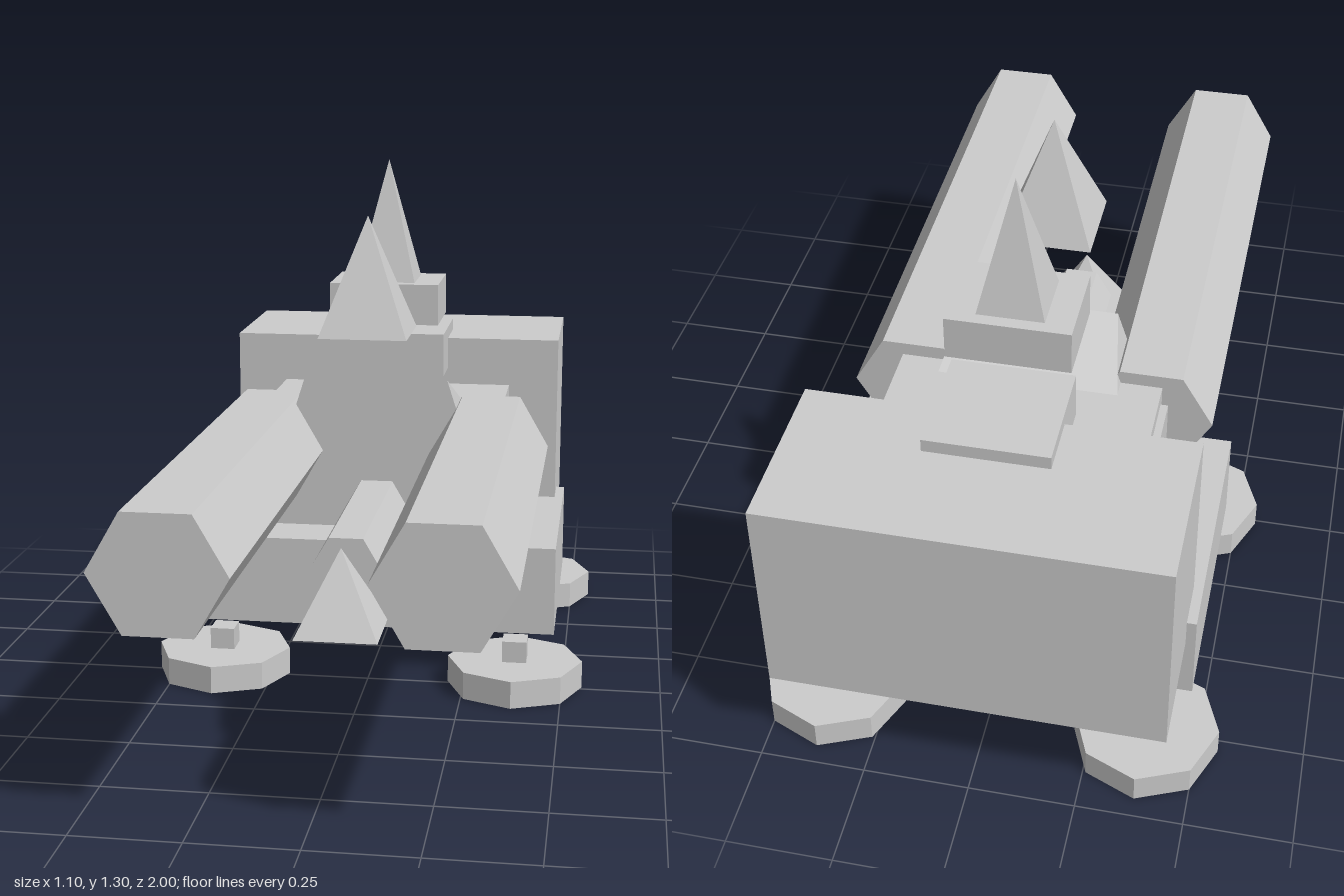
import * as THREE from 'three';

export function createModel() {
  const model = new THREE.Group();
  const grey = new THREE.MeshStandardMaterial({ color: 0xcccccc, flatShading: true });
  grey.name = 'plain grey';

  const add = (name, geometry, x, y, z) => {
    const mesh = new THREE.Mesh(geometry, grey);
    mesh.name = name;
    mesh.position.set(x, y, z);
    model.add(mesh);
    return mesh;
  };

  // Box given by its low and high limits on each axis
  const box = (name, [x0, x1], [y0, y1], [z0, z1]) =>
    add(name, new THREE.BoxGeometry(x1 - x0, y1 - y0, z1 - z0),
      (x0 + x1) / 2, (y0 + y1) / 2, (z0 + z1) / 2);

  // Square pyramid with sides along the axes
  const spike = (name, half, y0, y1, z) =>
    add(name, new THREE.ConeGeometry(half * Math.SQRT2, y1 - y0, 4).rotateY(Math.PI / 4),
      0, (y0 + y1) / 2, z);

  // Six-sided bar along z, with corners to the left and right
  const hexBar = (name, radius, x, y, z0, z1) =>
    add(name, new THREE.CylinderGeometry(radius, radius, z1 - z0, 6)
      .rotateY(Math.PI / 6).rotateX(Math.PI / 2), x, y, (z0 + z1) / 2);

  // Hull
  box('base', [-0.475, 0.475], [0.114, 0.345], [-0.71, -0.08]);
  box('body', [-0.317, 0.317], [0.36, 0.665], [-0.62, -0.17]);
  box('rearBlock', [-0.452, 0.452], [0.278, 0.795], [-1, -0.595]);
  box('sideBracket', [-0.335, -0.218], [0.345, 0.63], [-0.43, -0.3]);

  // Upper blocks
  box('hatch', [-0.144, 0.144], [0.71, 0.827], [-0.742, -0.465]);
  box('spikeBlock', [-0.144, 0.144], [0.88, 0.987], [-0.52, -0.302]);

  // Shield: top slopes down to the rear, sides spread downward
  const shield = new THREE.BoxGeometry(2, 2, 2);
  const p = shield.attributes.position;
  for (let i = 0; i < p.count; i++) {
    const front = p.getZ(i) > 0;
    const y = p.getY(i) < 0 ? 0.506 : front ? 0.765 : 0.662;
    const halfWidth = 0.185 + (0.765 - y) * 0.32;
    p.setXYZ(i, p.getX(i) * halfWidth, y, front ? -0.147 : -0.333);
  }
  shield.computeVertexNormals();
  add('shield', shield, 0, 0, 0);

  // Spikes
  spike('rearSpike', 0.078, 0.987, 1.305, -0.412);
  spike('frontSpike', 0.109, 0.91, 1.2, -0.003);
  spike('lowerSpike', 0.098, 0.29, 0.485, 0.445);

  // Barrels
  for (const side of [-1, 1]) {
    const barrel = hexBar(side > 0 ? 'leftBarrel' : 'rightBarrel', 0.151, side * 0.29, 0.574, -0.28, 1);
    barrel.rotation.x = -0.0095;
  }
  hexBar('centreBarrel', 0.082, 0, 0.415, -0.2, 0.37);

  // Eight-sided feet with square posts
  for (const x of [-0.379, 0.379]) {
    for (const z of [-0.011, -0.781]) {
      add('foot', new THREE.CylinderGeometry(0.172, 0.172, 0.07, 8), x, 0.035, z);
      box('footPost', [x - 0.031, x + 0.031], [0.05, 0.125], [z - 0.032, z + 0.032]);
    }
  }

  return model;
}
